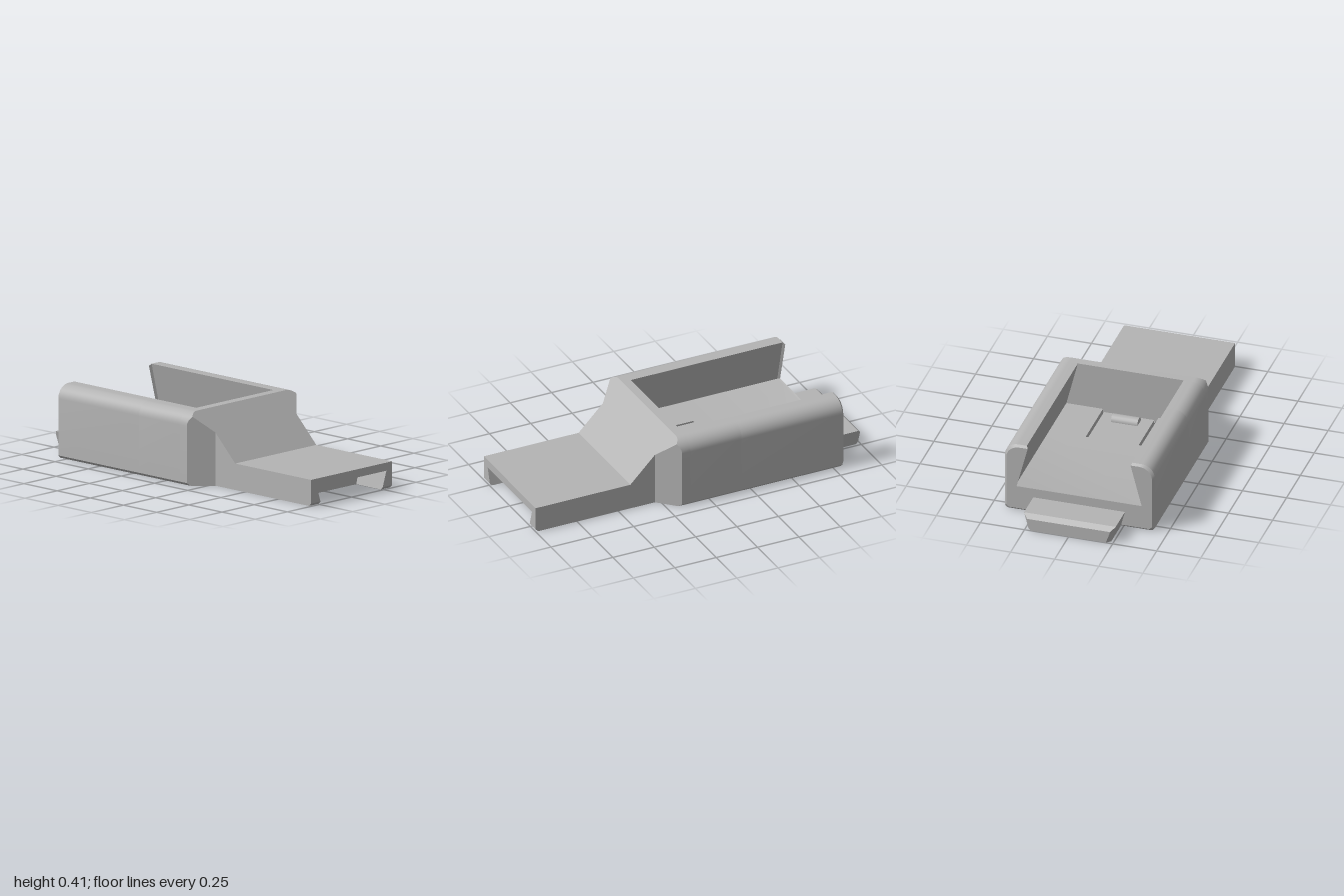
import * as THREE from 'three';
import { toCreasedNormals } from 'three/addons/utils/BufferGeometryUtils.js';
import { ConvexGeometry } from 'three/addons/geometries/ConvexGeometry.js';

const W = 0.425, H = 0.405, R = 0.075, CH = 0.015; // body half width, height, top radius, chamfer
const FLOOR = 0.145, NECK = 0.315, FRONT = 0.12;   // channel floor, tongue half width, channel end

export function createModel() {
  const group = new THREE.Group();
  const plastic = new THREE.MeshStandardMaterial({ color: 0xb4b4b4 });
  plastic.name = 'greyPlastic';

  const add = (name, geometry) => {
    const mesh = new THREE.Mesh(geometry, plastic);
    mesh.name = name;
    group.add(mesh);
    return mesh;
  };
  const shapeOf = pts => new THREE.Shape(pts.map(p => new THREE.Vector2(p[0], p[1])));
  const mirror = pts => pts.map(([x, y]) => [-x, y]).reverse();

  // Extrude a cross-section along z; optionally reshape the slice at zEnd over a short bevel
  function along(pts, z0, z1, zEnd, bevel, reshape) {
    const g = new THREE.ExtrudeGeometry(shapeOf(pts), {
      depth: z1 - z0, steps: reshape ? 2 : 1, bevelEnabled: false });
    g.translate(0, 0, z0);
    const p = g.attributes.position, mid = (z0 + z1) / 2;
    if (reshape) for (let i = 0; i < p.count; i++) {
      const z = p.getZ(i);
      if (Math.abs(z - mid) < 1e-4) p.setZ(i, zEnd + (zEnd === z0 ? bevel : -bevel));
      else if (Math.abs(z - zEnd) < 1e-4) {
        const [x, y] = reshape(p.getX(i), p.getY(i));
        p.setXY(i, x, y);
      }
    }
    return toCreasedNormals(g, 0.4);
  }

  // Extrude a side outline given as [z, y] across the width
  function across(pts, halfWidth) {
    const g = new THREE.ExtrudeGeometry(shapeOf(pts.map(([z, y]) => [-z, y])), {
      depth: halfWidth * 2, bevelEnabled: false });
    g.translate(0, 0, -halfWidth);
    return g.rotateY(Math.PI / 2);
  }

  // Outer right edge of the body, bottom to top, with a rounded shoulder
  const outer = [[W - CH, 0], [W, CH]];
  for (let i = 0; i <= 10; i++) {
    const a = i / 10 * Math.PI / 2;
    outer.push([W - R + R * Math.cos(a), H - R + R * Math.sin(a)]);
  }
  const inner = [[0.3, H], [0.365, FLOOR]]; // undercut channel wall
  const rightSide = [...outer, ...inner];

  // Rear body with the open dovetail channel and a small rear bevel
  add('channelBody', along([...rightSide, ...mirror(rightSide)], -0.81, -0.19, -0.81, 0.012,
    (x, y) => [x * 0.972, 0.2 + (y - 0.2) * 0.94]));

  // Channel sides flanking the clip opening
  const flank = [[0.1575, 0], ...rightSide, [0.1575, FLOOR]];
  add('channelSideLeft', along(flank, -0.19, FRONT));
  add('channelSideRight', along(mirror(flank), -0.19, FRONT));

  // Front shoulder, cut by a 45 degree slope and 45 degree side chamfers
  const pts = [];
  for (const [x, y] of [...outer, ...mirror(outer)]) {
    pts.push(new THREE.Vector3(x, y, FRONT));
    pts.push(new THREE.Vector3(x, y, Math.min(0.575 - y, 0.595 - Math.abs(x))));
  }
  for (const x of [-NECK, NECK]) for (const y of [0, 0.295]) pts.push(new THREE.Vector3(x, y, 0.28));
  add('frontShoulder', toCreasedNormals(new ConvexGeometry(pts), 0.25));

  // Sloped neck and tongue
  add('neckAndTongue', across(
    [[0.28, 0], [0.28, 0.295], [0.428, 0.147], [0.8, 0.147], [0.8, 0]], NECK));

  // Tongue tip with a dovetail socket open at the front and below
  const tip = [[0.242, 0], [NECK, 0], [NECK, 0.147]];
  add('tongueSocket', along([...tip, ...mirror(tip), [-0.27, 0.102], [0.27, 0.102]],
    0.8, 1, 1, CH, (x, y) => [x, Math.max(y, CH)]));

  // Rear dovetail tab with a bevelled end
  const tab = [[0.235, 0], [0.26, 0.095]];
  add('rearTab', along([...tab, ...mirror(tab)], -1, -0.81, -1, 0.024,
    (x, y) => [x - Math.sign(x) * 0.024, Math.min(y, 0.071)]));

  // Springy clip arm in the floor, with a rounded catch
  add('clipArm', across([[-0.19, 0.1], [-0.19, FLOOR], [0.09, FLOOR], [0.09, 0.125],
    [0.11, 0.125], [0.11, 0.1]], 0.1425));
  const bump = add('clipCatch', new THREE.CylinderGeometry(0.0325, 0.0325, 0.15, 20));
  bump.rotation.z = Math.PI / 2;
  bump.position.set(0, FLOOR, 0.0325);

  return group;
}
